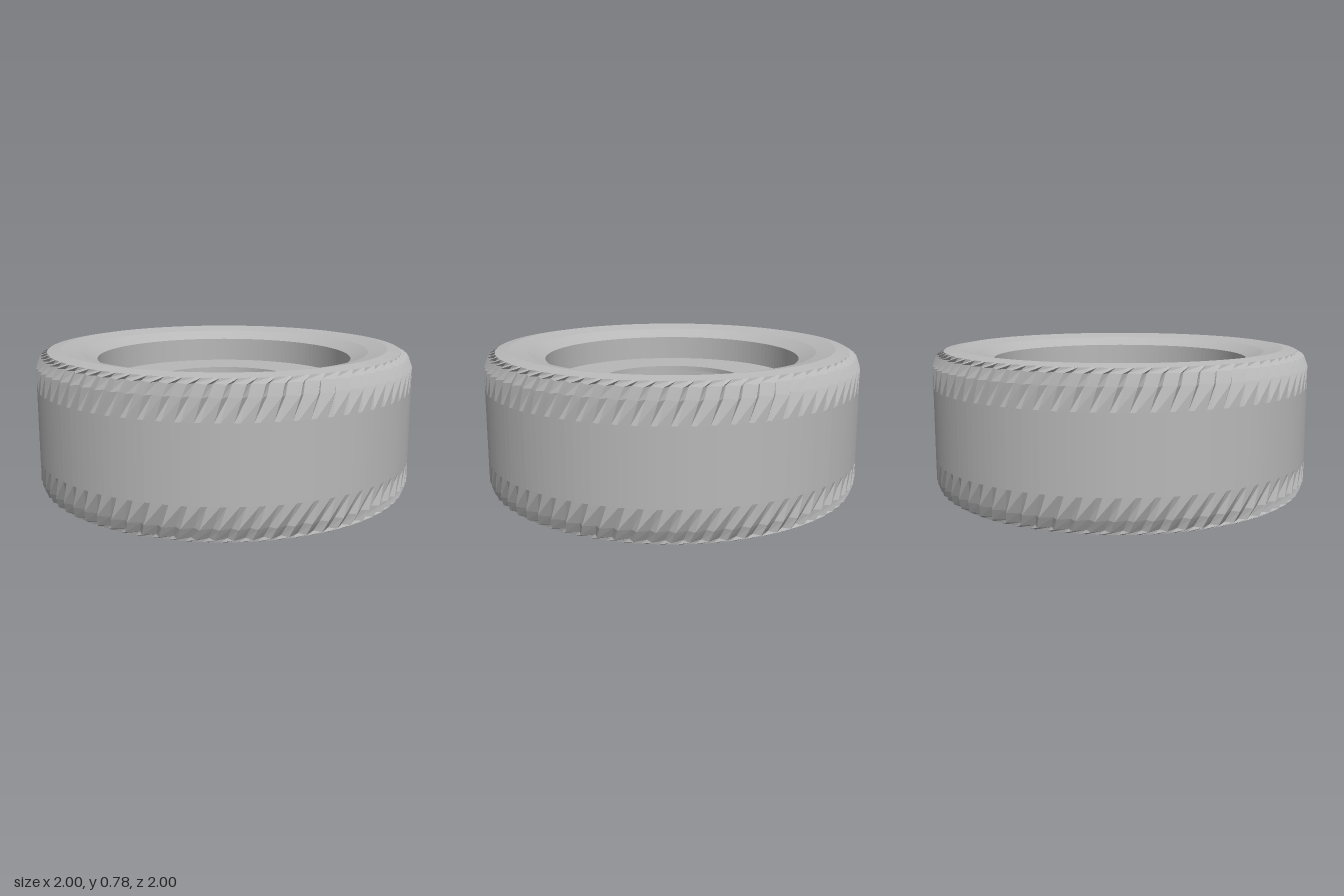
import * as THREE from 'three';

const HEIGHT = 0.78;
const LUGS = 72;

// Revolved surface from [radius, y] pairs
function lathe(name, profile, material) {
  const points = profile.map(([r, y]) => new THREE.Vector2(r, y));
  const mesh = new THREE.Mesh(new THREE.LatheGeometry(points, LUGS * 2), material);
  mesh.name = name;
  return mesh;
}

// Saw-tooth shoulder: notches start as points on the wall, widen, then close at the sidewall
function lugGeometry() {
  const rows = [
    { r: 1.0, y: 0.58, depth: 0, twist: 0 },
    { r: 1.0, y: 0.69, depth: 0.03, twist: 0.035 },
    { r: 0.98, y: 0.745, depth: 0.035, twist: 0.055 },
    { r: 0.94, y: 0.768, depth: 0, twist: 0.085 },
  ];
  const pitch = (Math.PI * 2) / LUGS;
  const positions = [];
  // Even columns are notch floors, odd columns are lug crests
  const corner = (row, col) => {
    const crest = col % 2;
    const angle = (Math.floor(col / 2) + crest * 0.68) * pitch + row.twist;
    const r = row.r - (crest ? 0 : row.depth);
    return [r * Math.sin(angle), row.y, r * Math.cos(angle)];
  };
  for (let k = 0; k < rows.length - 1; k++) {
    for (let col = 0; col < LUGS * 2; col++) {
      const a = corner(rows[k], col);
      const b = corner(rows[k], col + 1);
      const c = corner(rows[k + 1], col + 1);
      const d = corner(rows[k + 1], col);
      positions.push(...a, ...b, ...c, ...a, ...c, ...d);
    }
  }
  const geometry = new THREE.BufferGeometry();
  geometry.setAttribute('position', new THREE.Float32BufferAttribute(positions, 3));
  geometry.computeVertexNormals();
  return geometry;
}

export function createModel() {
  const group = new THREE.Group();
  group.name = 'tyre';
  const grey = new THREE.MeshStandardMaterial({ color: 0xb8b8b8, flatShading: true, side: THREE.DoubleSide });
  grey.name = 'light grey';

  // Plain running surface
  group.add(lathe('treadBand', [[1, 0.2], [1, 0.58]], grey));

  // Both sidewalls and the bore between them
  const side = [[0.94, 0.768], [0.87, 0.78], [0.77, 0.76], [0.68, 0.72]];
  const lower = side.map(([r, y]) => [r, HEIGHT - y]).reverse();
  group.add(lathe('sidewallsAndBore', [...side, ...lower], grey));

  // Shoulder lugs, the lower ring being the upper one turned over
  const lugs = lugGeometry();
  const upperLugs = new THREE.Mesh(lugs, grey);
  upperLugs.name = 'upperLugs';
  const lowerLugs = new THREE.Mesh(lugs, grey);
  lowerLugs.name = 'lowerLugs';
  lowerLugs.rotation.x = Math.PI;
  lowerLugs.position.y = HEIGHT;
  group.add(upperLugs, lowerLugs);

  // Thin ring-shaped disc set inside the bore
  group.add(lathe('hubDisc', [[0.395, 0.565], [0.67, 0.565], [0.67, 0.59], [0.395, 0.59], [0.395, 0.565]], grey));

  return group;
}
